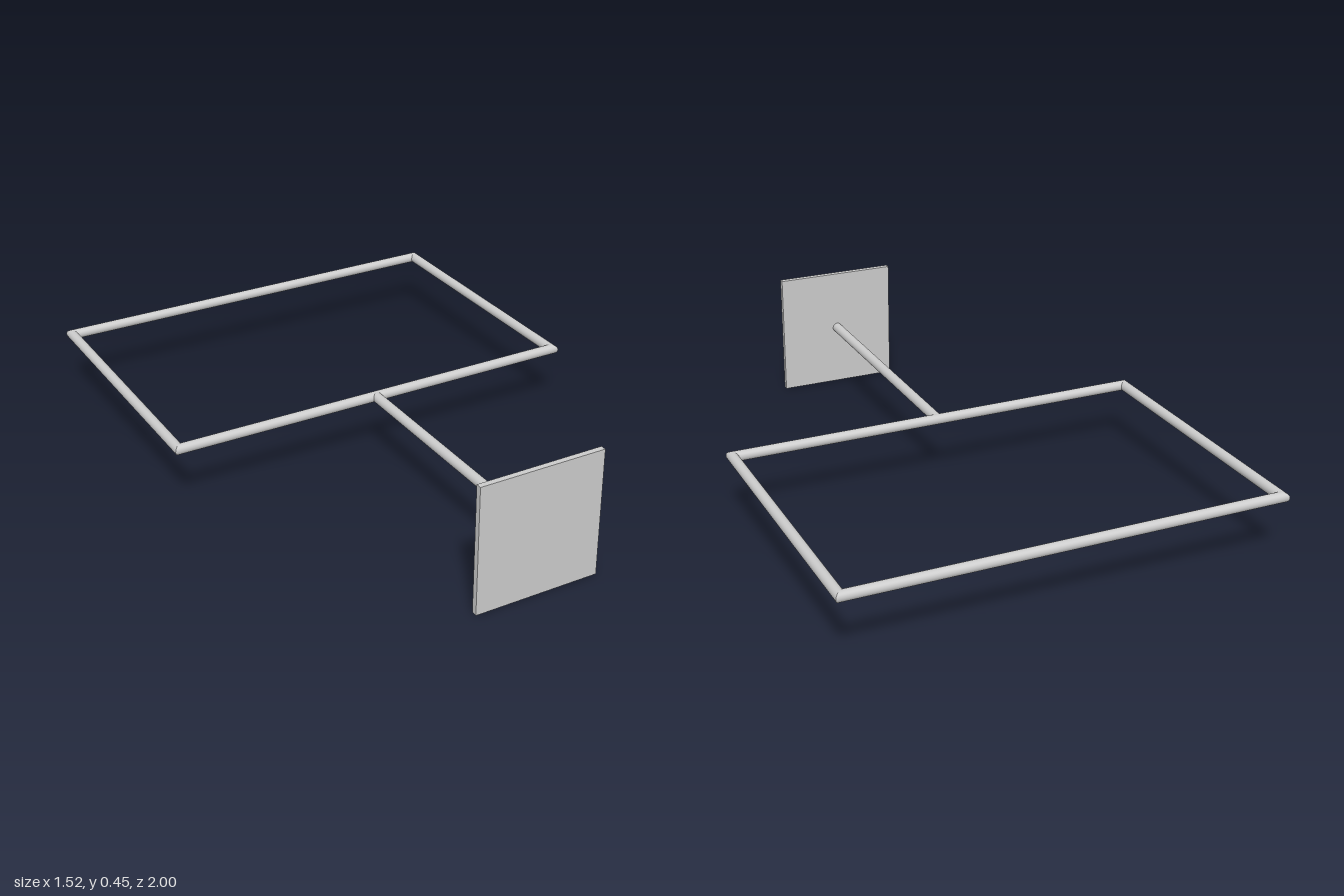
import * as THREE from 'three';

const R = 0.018;        // tube radius
const AXIS_Y = 0.226;   // height of all tube centre lines
const HALF_W = 0.742;   // frame half width, centre line
const HALF_D = 0.493;   // frame half depth, centre line
const FRAME_Z = -0.489; // frame centre

// Tube along x whose ends are cut at 45 degrees, longer on its +z side
function mitredBar(length) {
  const geometry = new THREE.CylinderGeometry(R, R, length, 32, 1, true);
  const p = geometry.attributes.position;
  for (let i = 0; i < p.count; i++) {
    p.setY(i, p.getY(i) + Math.sign(p.getY(i)) * p.getZ(i));
  }
  return geometry.rotateZ(-Math.PI / 2);
}

export function createModel() {
  const model = new THREE.Group();
  model.name = 'wallMountedRail';
  const material = new THREE.MeshStandardMaterial({ color: 0xcccccc });

  // Rectangular frame of four mitred bars
  const frame = new THREE.Group();
  frame.name = 'frame';
  frame.position.set(0, AXIS_Y, FRAME_Z);
  ['frontBar', 'leftBar', 'backBar', 'rightBar'].forEach((name, i) => {
    const across = i % 2 === 0;
    const geometry = mitredBar(2 * (across ? HALF_W : HALF_D));
    geometry.translate(0, 0, across ? HALF_D : HALF_W);
    const bar = new THREE.Mesh(geometry, material);
    bar.name = name;
    bar.rotation.y = i * Math.PI / 2;
    frame.add(bar);
  });
  model.add(frame);

  // Arm joining the frame to the plate
  const armStart = FRAME_Z + HALF_D;
  const armEnd = 0.985;
  const arm = new THREE.Mesh(
    new THREE.CylinderGeometry(R, R, armEnd - armStart, 32).rotateX(Math.PI / 2), material);
  arm.name = 'arm';
  arm.position.set(0, AXIS_Y, (armStart + armEnd) / 2);
  model.add(arm);

  // Thin square mounting plate
  const plate = new THREE.Mesh(new THREE.BoxGeometry(0.445, 0.45, 0.02), material);
  plate.name = 'mountingPlate';
  plate.position.set(0, 0.225, 0.99);
  model.add(plate);

  return model;
}
